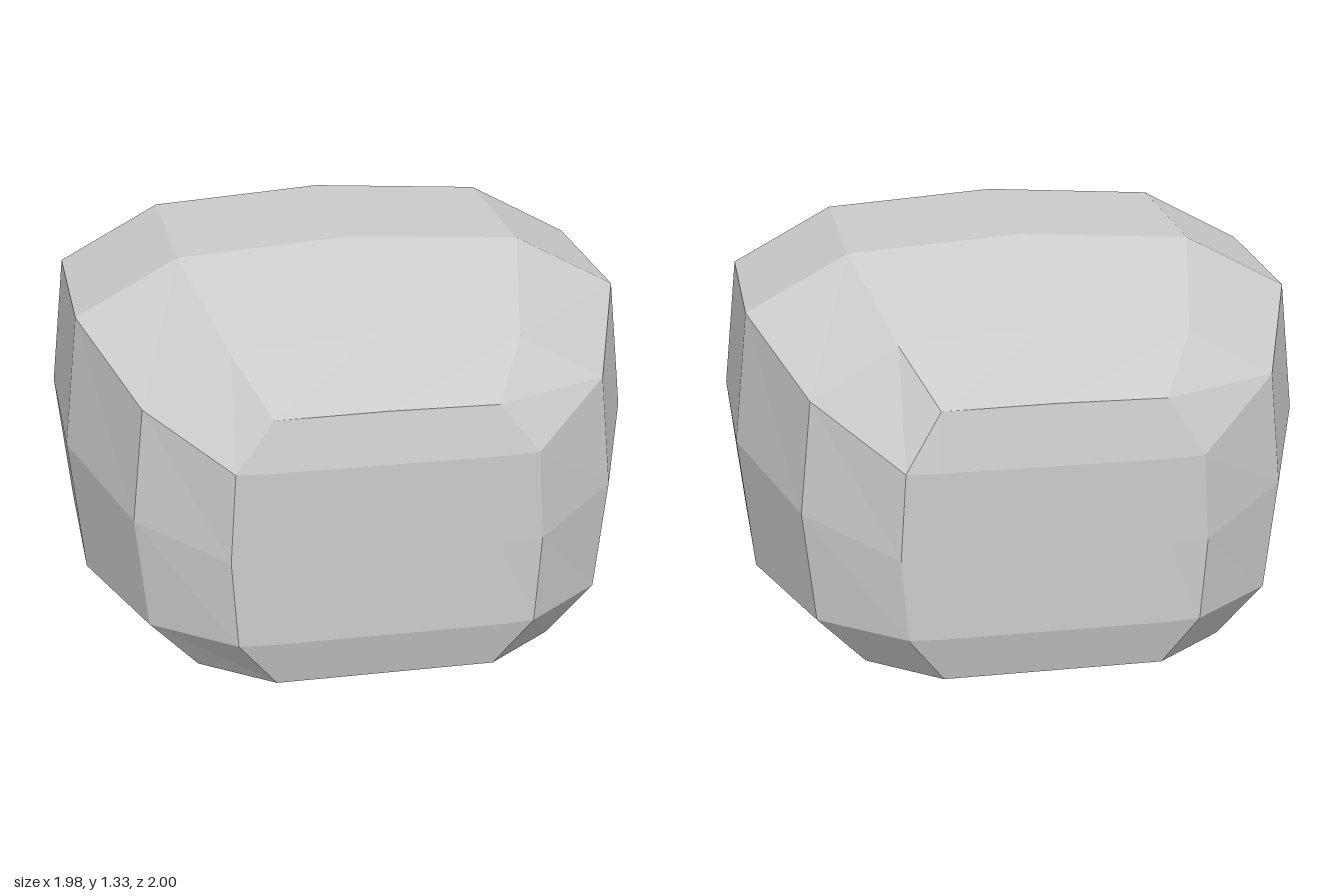
import * as THREE from 'three';

// Half outlines [x, y, z], from the base edge up the left side to the crown.
const middle = [[0.74, 0], [0.94, 0.17], [0.99, 0.64], [0.94, 1.10], [0.59, 1.29], [0, 1.33]]
  .map(([x, y]) => [x, y, 0.31]);
const shoulder = [[0.61, 0], [0.77, 0.165], [0.81, 0.55], [0.77, 0.94], [0.48, 1.11], [0, 1.15]]
  .map(([x, y]) => [x, y, 0.78]);

// The rounded end and its flat centre panel; the back end is slightly lower and narrower.
const endRim = (w, top) => [[0.37, 0, 0.96], [w, 0.165, 0.99], [w + 0.02, top * 0.6, 0.99],
  [w, top, 0.99], [0.37, 0.945, 0.96], [0, 0.95, 0.96]];
const endPanel = (top) => [[0.37, 0, 0.96], [0.38, 0.165, 1], [0.38, top * 0.6, 1],
  [0.38, top, 1], [0.37, 0.945, 0.96], [0, 0.95, 0.96]];

// Mirror a half outline into a full ring of 11 points, on the front or the back.
function ring(half, side) {
  const left = half.map(([x, y, z]) => new THREE.Vector3(x, y, z * side));
  const right = left.slice(0, -1).reverse().map((p) => new THREE.Vector3(-p.x, p.y, p.z));
  return [...left, ...right];
}

function bodyGeometry() {
  const rings = [
    ring(endPanel(0.75), -1), ring(endRim(0.49, 0.75), -1), ring(shoulder, -1), ring(middle, -1),
    ring(middle, 1), ring(shoulder, 1), ring(endRim(0.5, 0.78), 1), ring(endPanel(0.78), 1),
  ];
  const points = [];
  const triangle = (a, b, c) => {
    if (new THREE.Triangle(a, b, c).getArea() > 1e-6) points.push(a, b, c);
  };
  const quad = (a, b, c, d) => { triangle(a, b, c); triangle(a, c, d); };

  // Skin between neighbouring rings, including the flat base
  const n = rings[0].length;
  for (let k = 0; k < rings.length - 1; k++) {
    for (let i = 0; i < n; i++) {
      const j = (i + 1) % n;
      quad(rings[k][i], rings[k][j], rings[k + 1][j], rings[k + 1][i]);
    }
  }
  // End panels, closed in horizontal strips
  const back = rings[0], front = rings[rings.length - 1], last = n - 1;
  for (let i = 0; i < last / 2; i++) {
    quad(front[i], front[i + 1], front[last - i - 1], front[last - i]);
    quad(back[last - i], back[last - i - 1], back[i + 1], back[i]);
  }
  const geometry = new THREE.BufferGeometry().setFromPoints(points);
  geometry.computeVertexNormals();
  return geometry;
}

export function createModel() {
  const group = new THREE.Group();
  group.name = 'roundedBlock';
  const body = new THREE.Mesh(bodyGeometry(),
    new THREE.MeshStandardMaterial({ color: 0xcccccc, flatShading: true }));
  body.name = 'body';
  group.add(body);
  return group;
}
